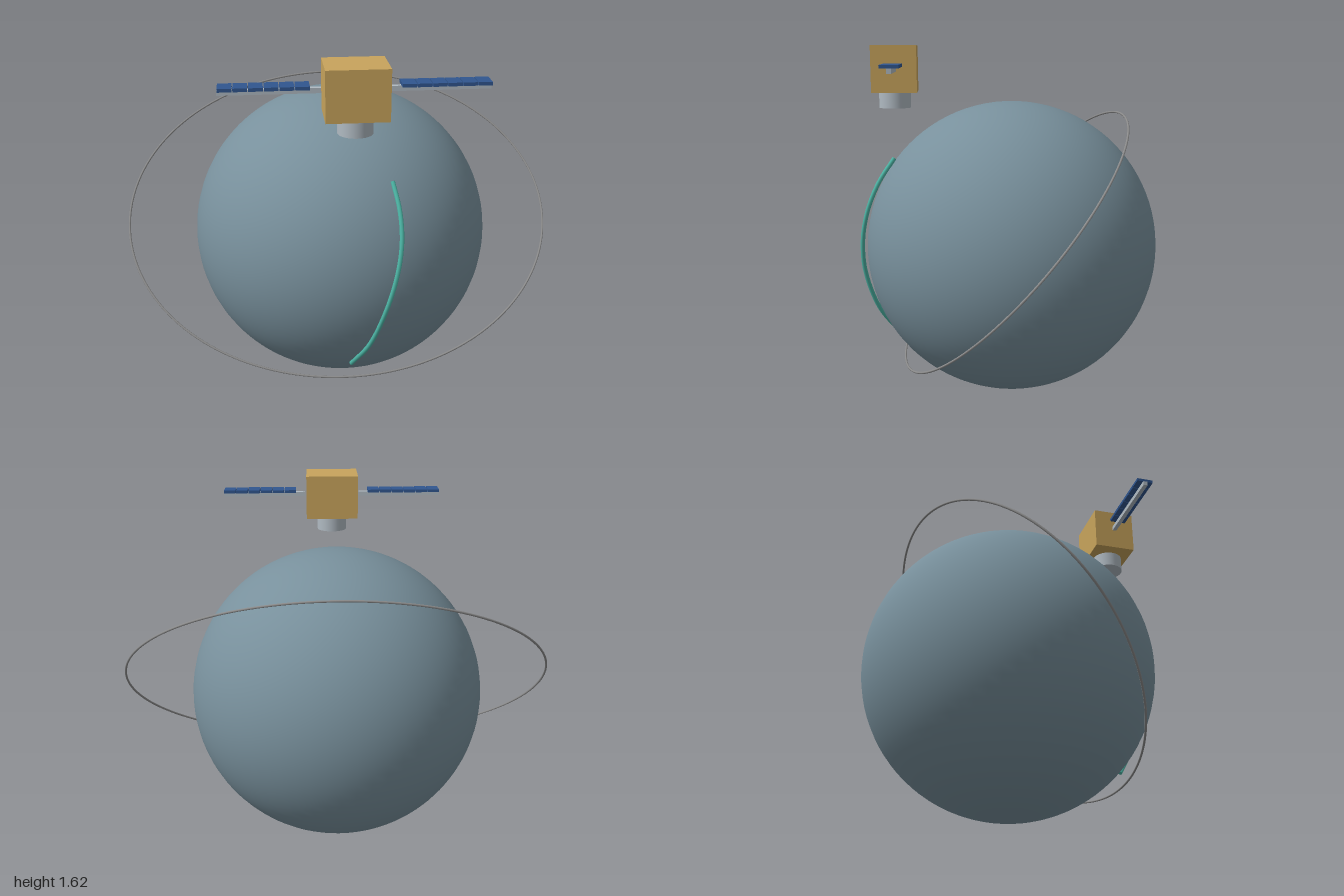
import * as THREE from 'three';

const mat = (name, color) => {
  const m = new THREE.MeshStandardMaterial({ color });
  m.name = name;
  return m;
};

export function createModel() {
  const slate = mat('slate', 0x78909c);
  const gold = mat('gold', 0xc8a45c);
  const silver = mat('silver', 0xb0bac2);
  const blue = mat('panel blue', 0x30568f);
  const teal = mat('teal', 0x4db6a6);
  const grey = mat('orbit grey', 0x8c8c8c);

  const model = new THREE.Group();
  const add = (parent, name, geometry, material, x = 0, y = 0, z = 0) => {
    const mesh = new THREE.Mesh(geometry, material);
    mesh.name = name;
    mesh.position.set(x, y, z);
    parent.add(mesh);
    return mesh;
  };

  // Planet
  add(model, 'planet', new THREE.SphereGeometry(0.682, 64, 48), slate, 0, 0.682, -0.008);

  // Tilted elliptical orbit, low at the front and high at the back
  const down = new THREE.Vector2(-0.572, 0.512); // y, z of the short half axis
  const orbitPoints = [];
  for (let i = 0; i < 48; i++) {
    const a = (i / 48) * Math.PI * 2;
    orbitPoints.push(new THREE.Vector3(
      0.995 * Math.cos(a), 0.735 + down.x * Math.sin(a), -0.004 + down.y * Math.sin(a)));
  }
  const orbitCurve = new THREE.CatmullRomCurve3(orbitPoints, true);
  add(model, 'orbit', new THREE.TubeGeometry(orbitCurve, 160, 0.005, 8, true), grey);

  // Ground track floating just off the planet
  const track = [[0, 0.252], [0.068, 0.407], [0.127, 0.6], [0.166, 0.75],
    [0.186, 0.862], [0.191, 0.943], [0.185, 1.03], [0.165, 1.124]];
  const trackCurve = new THREE.CatmullRomCurve3(track.map(([x, y]) =>
    new THREE.Vector3(x, y, Math.sqrt(0.693 ** 2 - (y - 0.688) ** 2) - 0.008)));
  add(model, 'groundTrack', new THREE.TubeGeometry(trackCurve, 64, 0.01, 8), teal);
  for (const t of [0, 1]) {
    const cap = add(model, 'groundTrackEnd', new THREE.CircleGeometry(0.01, 8), teal);
    cap.position.copy(trackCurve.getPoint(t));
    const dir = trackCurve.getTangent(t).multiplyScalar(t ? 1 : -1);
    cap.quaternion.setFromUnitVectors(new THREE.Vector3(0, 0, 1), dir);
  }

  // Satellite body and the sensor beneath it
  const satellite = new THREE.Group();
  satellite.name = 'satellite';
  satellite.position.set(0.01, 1.514, 0.526);
  model.add(satellite);
  add(satellite, 'body', new THREE.BoxGeometry(0.252, 0.208, 0.202), gold);
  add(satellite, 'sensor', new THREE.CylinderGeometry(0.072, 0.072, 0.074, 32), silver, 0, -0.139, 0.003);

  // Solar wings: a boom carrying six panels on each side
  for (const side of [-1, 1]) {
    const wing = new THREE.Group();
    wing.name = side < 0 ? 'rightWing' : 'leftWing';
    satellite.add(wing);
    add(wing, 'boom', new THREE.BoxGeometry(0.402, 0.021, 0.02), silver, side * 0.335, 0.002, -0.002);
    for (let i = 0; i < 6; i++) {
      add(wing, 'solarPanel', new THREE.BoxGeometry(0.056, 0.014, 0.078), blue,
        side * (0.207 + i * 0.0596), 0.0195, -0.002);
    }
  }
  return model;
}
